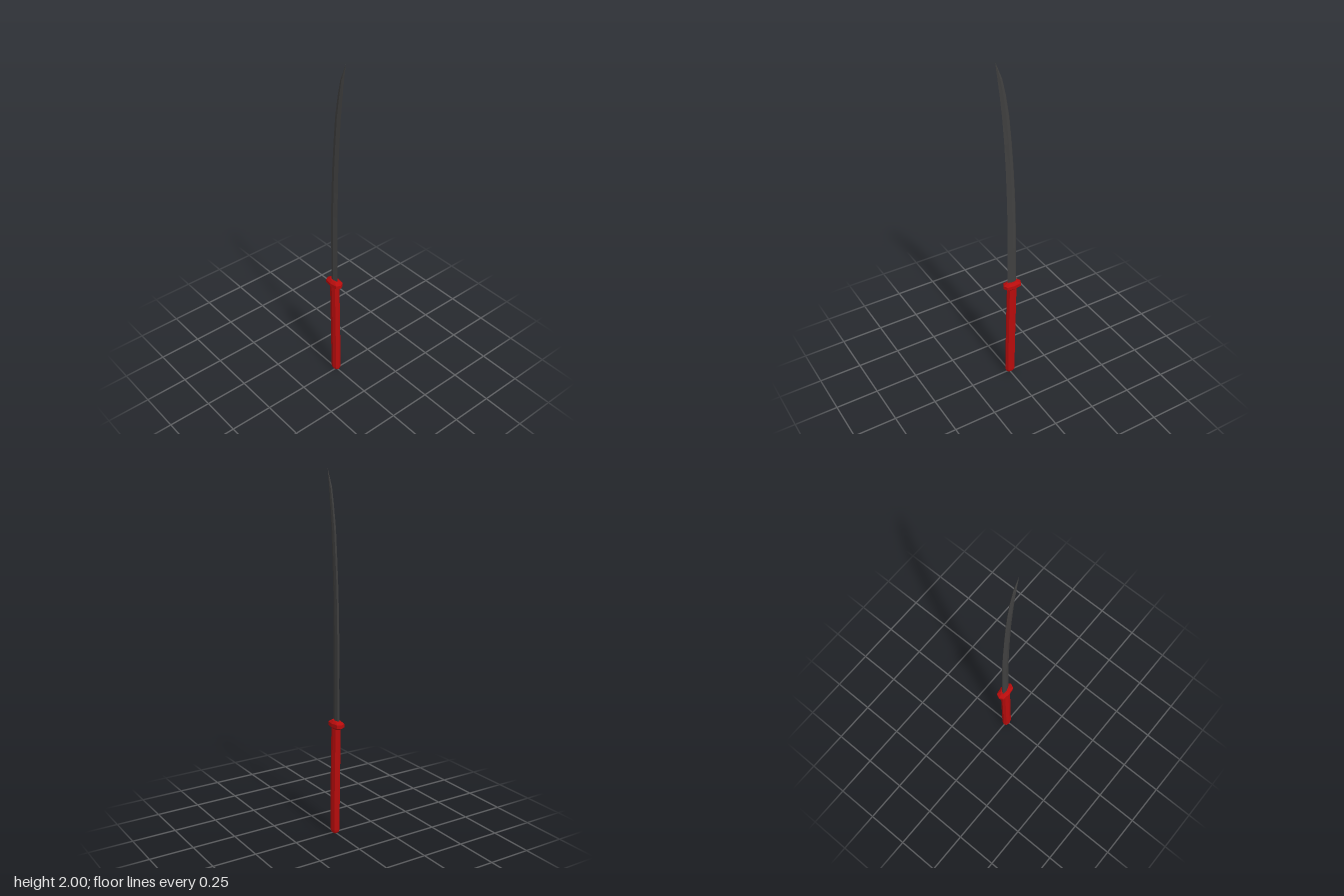
import * as THREE from 'three';

// Skin a list of rings (arrays of [x, y, z], clockwise seen from +y reversed below) with closed ends.
function loft(rings) {
  const pos = [];
  const n = rings[0].length;
  const tri = (a, b, c) => pos.push(...a, ...b, ...c);
  for (let r = 0; r < rings.length - 1; r++) {
    for (let i = 0; i < n; i++) {
      const j = (i + 1) % n;
      const [a, b, c, d] = [rings[r][i], rings[r][j], rings[r + 1][j], rings[r + 1][i]];
      tri(a, c, b);
      tri(a, d, c);
    }
  }
  const mid = (ring) => [0, 1, 2].map((k) => ring.reduce((s, p) => s + p[k], 0) / n);
  const first = rings[0];
  const last = rings[rings.length - 1];
  const bottom = mid(first);
  const top = mid(last);
  for (let i = 0; i < n; i++) {
    const j = (i + 1) % n;
    tri(bottom, first[i], first[j]);
    tri(top, last[j], last[i]);
  }
  const g = new THREE.BufferGeometry();
  g.setAttribute('position', new THREE.Float32BufferAttribute(pos, 3));
  g.computeVertexNormals();
  return g;
}

// Eight-sided ring with slightly full corners; angles run from +x towards +z.
function octagon(y, zc, rx, rz, full = 0.74) {
  return Array.from({ length: 8 }, (_, i) => {
    const a = (i * Math.PI) / 4;
    const k = i % 2 ? full / Math.SQRT1_2 : 1;
    return [Math.cos(a) * rx * k, y, zc + Math.sin(a) * rz * k];
  });
}

export function createModel() {
  const model = new THREE.Group();
  const red = new THREE.MeshStandardMaterial({ color: 0xb80c0c, flatShading: true });
  const steel = new THREE.MeshStandardMaterial({ color: 0x404040, flatShading: true });
  const add = (name, geometry, material) => {
    const mesh = new THREE.Mesh(geometry, material);
    mesh.name = name;
    model.add(mesh);
  };

  // Grip: gently leaning octagonal bar with a rounded pommel end
  add('grip', loft([
    octagon(0, -0.004, 0.013, 0.018),
    octagon(0.008, -0.004, 0.02, 0.026),
    octagon(0.022, -0.004, 0.023, 0.029),
    octagon(0.22, -0.007, 0.023, 0.029),
    octagon(0.43, -0.011, 0.023, 0.029),
    octagon(0.635, -0.016, 0.022, 0.029),
  ]), red);

  // Guard: oval octagonal collar, widest at mid height with sloping faces
  add('guard', loft([
    octagon(0.622, -0.018, 0.02, 0.034),
    octagon(0.635, -0.018, 0.031, 0.055, 0.78),
    octagon(0.655, -0.018, 0.031, 0.055, 0.78),
    octagon(0.668, -0.018, 0.018, 0.032),
  ]), red);

  // Blade stations: height, cutting edge z, spine z, half thickness, sideways drift
  const stations = [
    [0.64, 0.010, -0.043, 0.009, -0.001],
    [0.90, 0.010, -0.042, 0.009, -0.001],
    [1.10, 0.011, -0.041, 0.009, -0.002],
    [1.25, 0.014, -0.036, 0.009, -0.003],
    [1.40, 0.019, -0.028, 0.008, -0.004],
    [1.55, 0.027, -0.017, 0.008, -0.004],
    [1.70, 0.038, -0.003, 0.008, -0.005],
    [1.82, 0.051, 0.016, 0.007, -0.005],
    [1.91, 0.062, 0.036, 0.006, -0.006],
    [2.00, 0.074, 0.073, 0.0005, -0.006],
  ];
  // Six-sided section: sharp edge, flat cheeks and a ridged spine
  add('blade', loft(stations.map(([y, edge, spine, t, x]) => {
    const z = (f) => spine + (edge - spine) * f;
    return [
      [x + t, y, z(0.5)],
      [x, y, edge],
      [x - t, y, z(0.5)],
      [x - t * 0.7, y, z(0.12)],
      [x, y, spine],
      [x + t * 0.7, y, z(0.12)],
    ];
  })), steel);

  return model;
}
